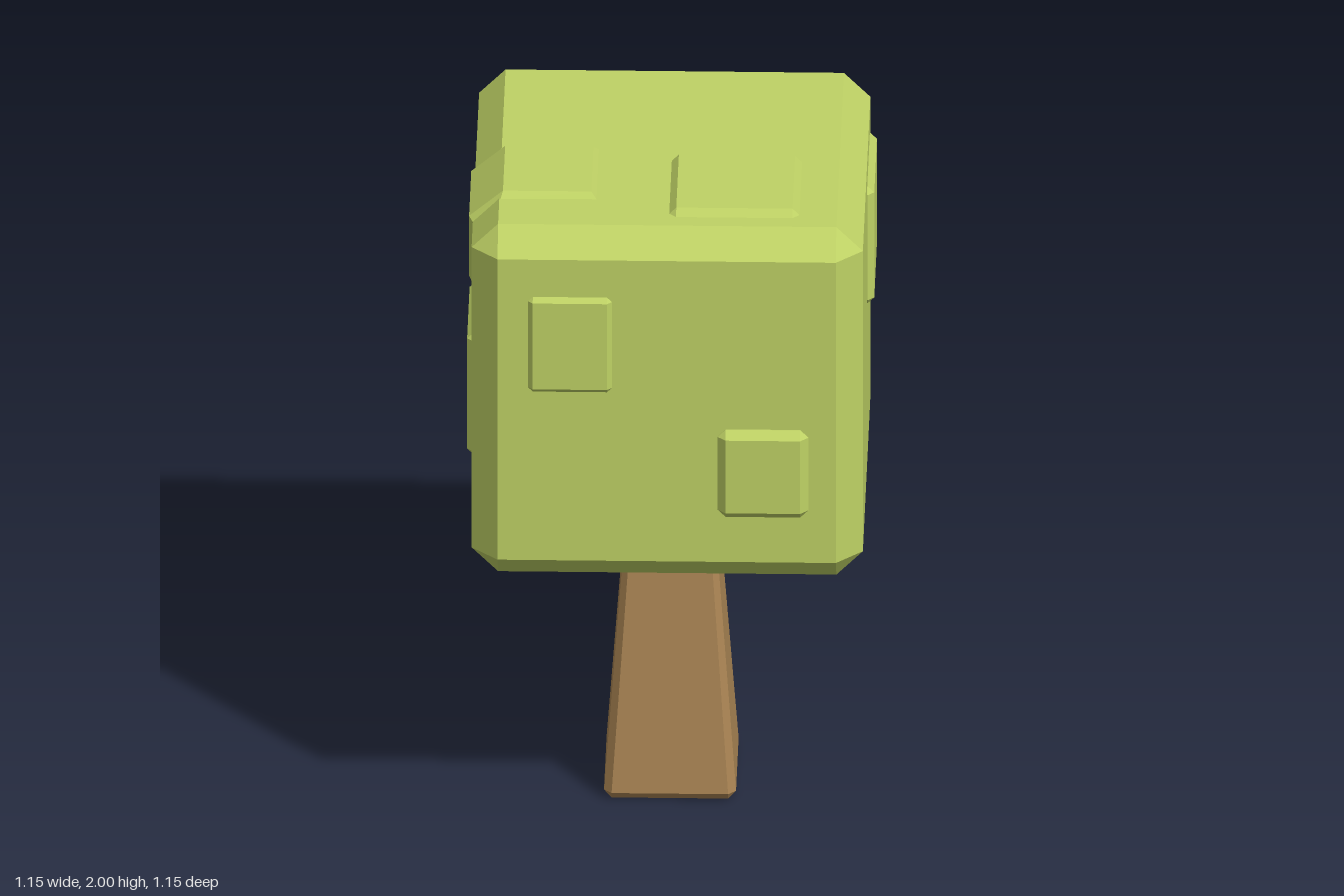
import * as THREE from 'three';
import { ConvexGeometry } from 'three/addons/geometries/ConvexGeometry.js';

const V = (x, y, z) => new THREE.Vector3(x, y, z);

// Box between two corners with every edge and corner chamfered by b
function chamferBox(min, max, b) {
  const pts = [];
  for (let i = 0; i < 8; i++) {
    const s = [i & 1, (i >> 1) & 1, (i >> 2) & 1];
    for (let full = 0; full < 3; full++) {
      const c = s.map((hi, a) => (hi ? max[a] : min[a]) + (a === full ? 0 : hi ? -b : b));
      pts.push(V(...c));
    }
  }
  return new ConvexGeometry(pts);
}

export function createModel() {
  const group = new THREE.Group();
  const leaf = new THREE.MeshStandardMaterial({ name: 'leaf green', color: 0xbfd265 });
  const bark = new THREE.MeshStandardMaterial({ name: 'bark brown', color: 0xad8755 });

  function add(name, geometry, material) {
    const mesh = new THREE.Mesh(geometry, material);
    mesh.name = name;
    group.add(mesh);
  }

  // Tapered trunk with chamfered edges: [y, outer half width, flat half width]
  const trunk = [];
  const rings = [[0, 0.165, 0.165], [0.025, 0.187, 0.165], [0.86, 0.126, 0.11], [0.876, 0.11, 0.11]];
  for (const [y, w, f] of rings) {
    for (const sx of [-1, 1]) for (const sz of [-1, 1]) {
      trunk.push(V(sx * w, y, sz * f));
      if (w !== f) trunk.push(V(sx * f, y, sz * w));
    }
  }
  add('trunk', new ConvexGeometry(trunk), bark);

  // Cubic crown
  add('crown', chamferBox([-0.555, 0.875, -0.558], [0.553, 1.98, 0.55], 0.075), leaf);

  // Raised leaf patches: name, min corner, max corner, chamfer
  const patches = [
    ['frontUpperPatch', [-0.395, 1.485, 0.48], [-0.155, 1.788, 0.564], 0.015],
    ['frontLowerPatch', [0.143, 1.095, 0.48], [0.4, 1.372, 0.576], 0.023],
    ['leftPatch', [0.48, 1.455, -0.432], [0.573, 1.825, -0.063], 0.018],
    ['rightPatch', [-0.577, 1.03, -0.283], [-0.48, 1.42, 0.077], 0.02],
    ['backPatch', [-0.012, 1.315, -0.578], [0.237, 1.578, -0.48], 0.02],
    ['topPatch', [0, 1.9, 0.05], [0.375, 2, 0.425], 0.023],
  ];
  for (const [name, min, max, b] of patches) add(name, chamferBox(min, max, b), leaf);

  // Patch folded over the top right edge: base outline plus a narrower raised outline
  const fold = [];
  for (const [x, y] of [[-0.2, 1.975], [-0.477, 1.978], [-0.553, 1.902], [-0.553, 1.705]]) {
    fold.push(V(x, y, 0), V(x, y, 0.322));
  }
  for (const [x, y] of [[-0.22, 1.996], [-0.47, 1.996], [-0.566, 1.915], [-0.566, 1.725]]) {
    fold.push(V(x, y, 0.022), V(x, y, 0.3));
  }
  add('foldedPatch', new ConvexGeometry(fold), leaf);

  return group;
}
